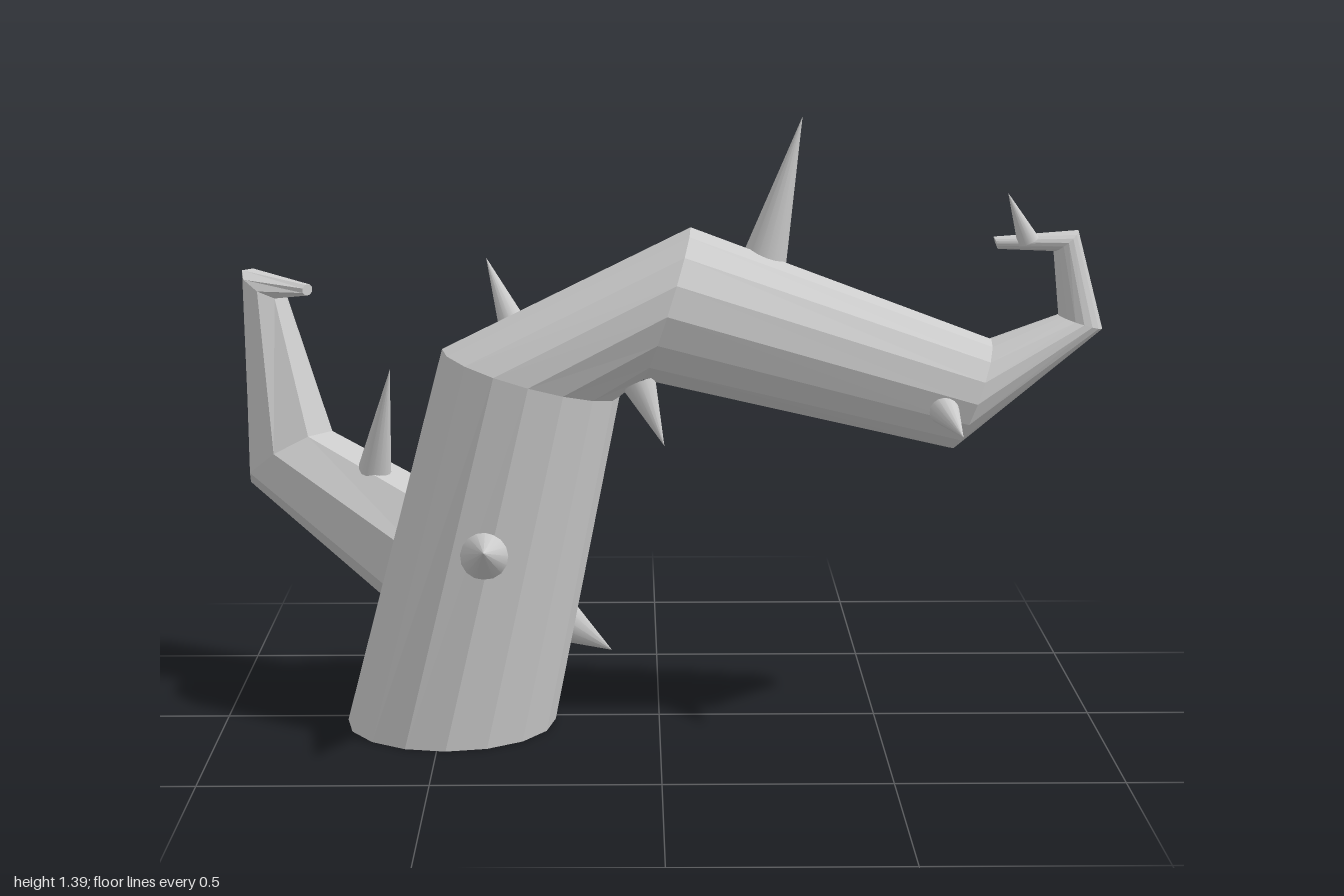
import * as THREE from 'three';

const material = new THREE.MeshStandardMaterial({ color: 0xcccccc });

// Faceted tube through elliptical rings: c = centre, a and b = half axes
function ringTube(name, rings, sides, phase = 0) {
  const positions = [];
  const index = [];
  for (const { c, a, b } of rings) {
    for (let j = 0; j < sides; j++) {
      const t = ((j + phase) / sides) * Math.PI * 2;
      for (let k = 0; k < 3; k++) positions.push(c[k] + a[k] * Math.cos(t) + b[k] * Math.sin(t));
    }
  }
  for (let i = 0; i < rings.length - 1; i++) {
    for (let j = 0; j < sides; j++) {
      const n = (j + 1) % sides;
      const p = i * sides + j, q = i * sides + n;
      index.push(p, q, q + sides, p, q + sides, p + sides);
    }
  }
  // End caps
  const last = (rings.length - 1) * sides;
  for (let j = 1; j < sides - 1; j++) {
    index.push(0, j + 1, j, last, last + j, last + j + 1);
  }
  const indexed = new THREE.BufferGeometry();
  indexed.setAttribute('position', new THREE.Float32BufferAttribute(positions, 3));
  indexed.setIndex(index);
  const geometry = indexed.toNonIndexed();
  geometry.computeVertexNormals();
  const mesh = new THREE.Mesh(geometry, material);
  mesh.name = name;
  return mesh;
}

// Pointed cone from a base centre to a tip
function thorn(base, tip, radius) {
  const from = new THREE.Vector3(...base);
  const dir = new THREE.Vector3(...tip).sub(from);
  const length = dir.length();
  const mesh = new THREE.Mesh(new THREE.ConeGeometry(radius, length, 16), material);
  mesh.position.copy(from).addScaledVector(dir, 0.5);
  mesh.quaternion.setFromUnitVectors(new THREE.Vector3(0, 1, 0), dir.normalize());
  mesh.name = 'thorn';
  return mesh;
}

export function createModel() {
  const model = new THREE.Group();
  model.name = 'thornyVine';

  // Main stem: mitred joints as two opposite edge points in the xy plane and a half depth
  const stemJoints = [
    [[-0.72, 0], [-0.24, 0], 0.24],
    [[-0.49, 0.87], [-0.09, 0.76], 0.197],
    [[0.07, 1.145], [-0.04, 0.8], 0.197],
    [[0.75, 0.89], [0.66, 0.64], 0.137],
    [[0.9, 0.945], [1.0, 0.915], 0.057],
    [[0.885, 1.09], [0.94, 1.137], 0.04],
    [[0.76, 1.095], [0.75, 1.123], 0.016],
  ];
  const stemRings = stemJoints.map(([p, q, depth]) => ({
    c: [(p[0] + q[0]) / 2, (p[1] + q[1]) / 2, 0.03],
    a: [(p[0] - q[0]) / 2, (p[1] - q[1]) / 2, 0],
    b: [0, 0, depth],
  }));
  model.add(ringTube('mainStem', stemRings, 16));

  // Side branch, growing back and to the right: centre, outer half axis, half width
  const branchJoints = [
    [[-0.44, 0.31, -0.04], [-0.05, -0.15, -0.04], 0.15],
    [[-0.885, 0.54, -0.36], [-0.085, -0.075, -0.07], 0.11],
    [[-0.945, 0.957, -0.4], [-0.046, 0.032, -0.035], 0.05],
    [[-0.832, 0.952, -0.325], [0, 0.014, 0], 0.018],
  ];
  const branchRings = branchJoints.map(([c, a, width]) => ({
    c, a, b: [-0.6 * width, 0, 0.8 * width],
  }));
  model.add(ringTube('sideBranch', branchRings, 8, 0.5));

  // Thorns: base, tip, radius
  const thorns = new THREE.Group();
  thorns.name = 'thorns';
  const thornList = [
    [[-0.39, 0.435, 0.21], [-0.38, 0.5, 0.45], 0.06],
    [[-0.24, 0.21, -0.095], [-0.11, 0.11, -0.16], 0.057],
    [[-0.33, 0.9, -0.06], [-0.395, 1.06, -0.1], 0.035],
    [[-0.045, 0.8, 0.1], [0.01, 0.67, 0.15], 0.038],
    [[0.23, 1.04, 0], [0.32, 1.39, 0.005], 0.055],
    [[0.625, 0.76, 0.13], [0.66, 0.715, 0.285], 0.042],
    [[0.825, 1.115, 0.045], [0.775, 1.225, 0.065], 0.025],
    [[-0.67, 0.53, -0.18], [-0.62, 0.8, -0.1], 0.042],
  ];
  for (const t of thornList) thorns.add(thorn(...t));
  model.add(thorns);

  return model;
}
